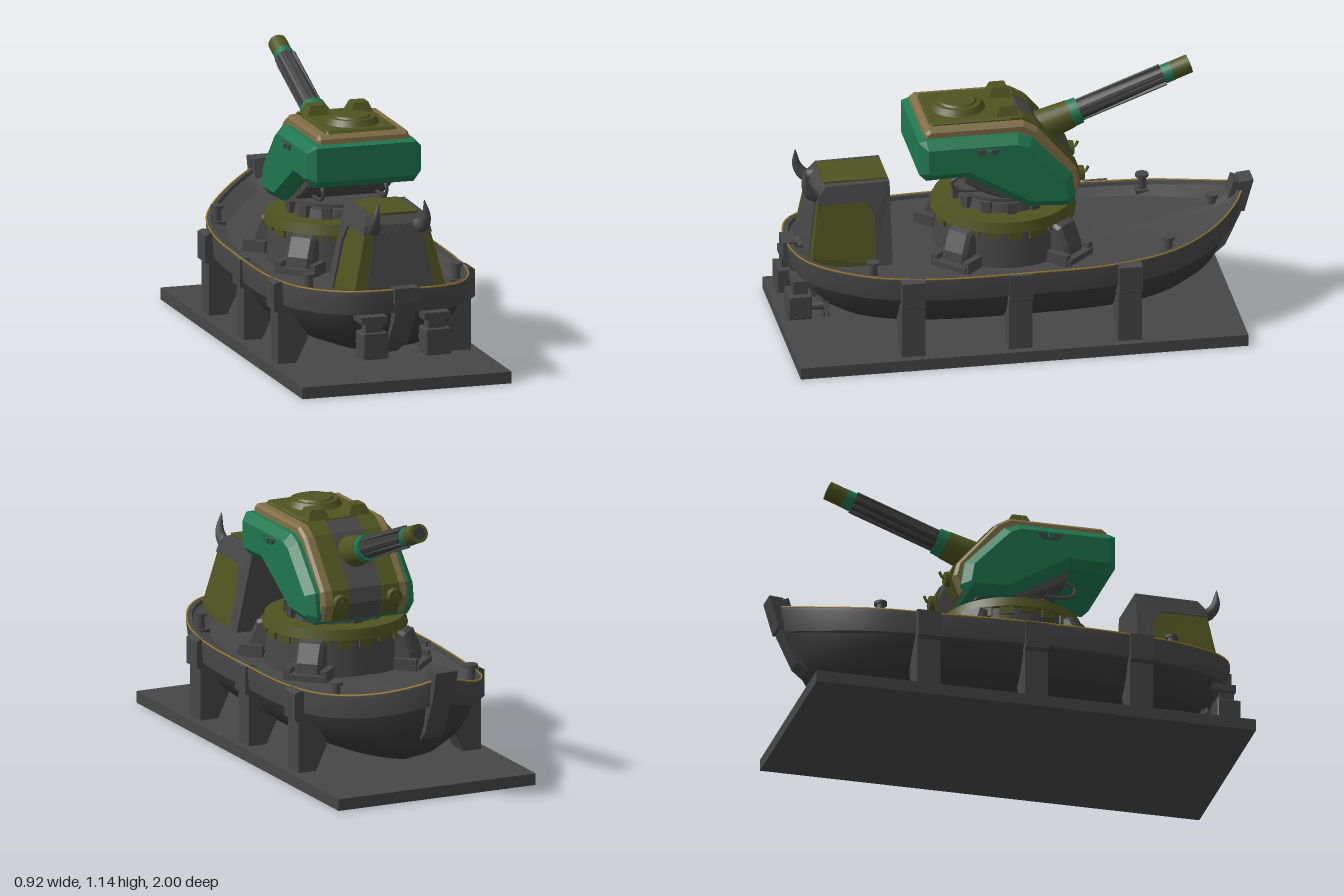
import * as THREE from 'three';
import { toCreasedNormals } from 'three/addons/utils/BufferGeometryUtils.js';

const mat = (name, color) => new THREE.MeshStandardMaterial({ name, color });

export function createModel() {
  const grey = mat('dark grey', 0x474747), hullGrey = mat('hull charcoal', 0x383838);
  const olive = mat('olive', 0x4f5420), green = mat('green', 0x1f7650);
  const tan = mat('tan', 0x7f6d45), yellow = mat('yellow trim', 0x9a7d2c);
  const root = new THREE.Group();
  root.name = 'gunboat';

  const add = (name, geo, m, x = 0, y = 0, z = 0, parent = root) => {
    const mesh = new THREE.Mesh(geo, m);
    mesh.name = name;
    mesh.position.set(x, y, z);
    parent.add(mesh);
    return mesh;
  };
  const box = (name, m, w, h, d, x, y, z, parent) => add(name, new THREE.BoxGeometry(w, h, d), m, x, y, z, parent);
  const cyl = (name, m, rt, rb, h, x, y, z, parent, n = 32) =>
    add(name, new THREE.CylinderGeometry(rt, rb, h, n), m, x, y, z, parent);
  // side profile of [z, y] points, extruded across x from x0 to x1
  const slab = (pts, x0, x1, b = 0) => {
    const shape = new THREE.Shape(pts.map(([z, y]) => new THREE.Vector2(z, y)));
    const d = x1 - x0;
    return new THREE.ExtrudeGeometry(shape, {
      depth: d - 2 * b, bevelEnabled: b > 0, bevelThickness: b, bevelSize: b, bevelOffset: -b, bevelSegments: 1,
    }).translate(0, 0, b - d / 2).rotateY(-Math.PI / 2).translate((x0 + x1) / 2, 0, 0);
  };
  const sides = (fn) => [1, -1].forEach(fn);

  // display plate
  box('basePlate', grey, 0.92, 0.05, 1.9, 0, 0.027, 0.045);

  // hull: gunwale outline, scaled into rings
  const half = [[0.22, 0.43, 0.93], [0.36, 0.41, 0.72], [0.42, 0.4, 0.45], [0.43, 0.4, 0],
    [0.41, 0.4, -0.35], [0.35, 0.42, -0.62], [0.22, 0.46, -0.82], [0.07, 0.515, -0.94]];
  const loop = [[0, 0.44, 0.985], ...half, [0, 0.54, -0.96],
    ...half.slice().reverse().map(([x, y, z]) => [-x, y, z])];
  const rim = new THREE.CatmullRomCurve3(loop.map((p) => new THREE.Vector3(...p)), true);
  const N = 96, rimPts = rim.getPoints(N).slice(0, N);
  // layer: x scale, z scale, height, share of the sheer rise
  const loft = (layers) => {
    const pos = [], idx = [];
    for (const [sx, sz, y, k] of layers)
      for (const p of rimPts) pos.push(p.x * sx, y + k * (p.y - 0.4), p.z * sz);
    for (let j = 0; j < layers.length - 1; j++)
      for (let i = 0; i < N; i++) {
        const a = j * N + i, b = j * N + (i + 1) % N, c = a + N, d = b + N;
        idx.push(a, c, b, b, c, d);
      }
    const g = new THREE.BufferGeometry();
    g.setAttribute('position', new THREE.Float32BufferAttribute(pos, 3));
    g.setIndex(idx);
    return toCreasedNormals(g, 0.6);
  };
  add('deck', loft([[0, 0, 0.365, 0], [0.55, 0.55, 0.365, 0.1], [0.82, 0.88, 0.365, 0.7]]), grey);
  add('gunwale', loft([[0.82, 0.88, 0.365, 0.7], [0.95, 0.97, 0.385, 1], [0.955, 0.975, 0.4, 1],
    [1, 1, 0.4, 1], [1.005, 1, 0.38, 1], [0.99, 0.98, 0.3, 0.9], [0.94, 0.94, 0.3, 0.9]]), grey);
  add('lowerHull', loft([[0.94, 0.94, 0.31, 0.9], [0.9, 0.92, 0.25, 0.6], [0.8, 0.87, 0.19, 0.3], [0.64, 0.78, 0.14, 0.1],
    [0.42, 0.64, 0.1, 0], [0.2, 0.48, 0.08, 0], [0, 0.35, 0.07, 0]]), hullGrey);
  add('rimLine', new THREE.TubeGeometry(new THREE.CatmullRomCurve3(
    rimPts.map((p) => new THREE.Vector3(p.x * 0.998, p.y, p.z * 0.998)), true), 96, 0.004, 5, true), yellow);

  // keel strip, stem and stern posts
  const keel = [[-0.985, 0.54], [-0.945, 0.42], [-0.88, 0.28], [-0.75, 0.17], [-0.55, 0.1], [-0.3, 0.067],
    [0.45, 0.067], [0.72, 0.11], [0.88, 0.19], [0.96, 0.3], [0.985, 0.4]];
  add('keel', slab([...keel, ...keel.slice().reverse().map(([z, y]) => [z * 0.93, y + 0.03])], -0.045, 0.045), grey);
  add('stemPost', slab([[-0.93, 0.43], [-0.96, 0.43], [-1, 0.57], [-0.94, 0.565]], -0.05, 0.05), grey);
  box('sternPost', grey, 0.11, 0.065, 0.06, 0, 0.412, 0.967);

  // cradle legs
  for (const z of [0.51, 0.055, -0.41]) sides((s) => {
    const leg = new THREE.Shape([[0.425, 0.05], [0.425, 0.27], [0.442, 0.28], [0.442, 0.395], [0.425, 0.403],
      [0.4, 0.403], [0.4, 0.3], [0.3, 0.2], [0.295, 0.155], [0.345, 0.05]].map(([x, y]) => new THREE.Vector2(s * x, y)));
    add('cradleLeg', new THREE.ExtrudeGeometry(leg, { depth: 0.1, bevelEnabled: false }), grey, 0, 0, z - 0.05);
  });

  // deck bollards
  for (const [x, z, y] of [[0.325, 0.665, 0.38], [-0.325, 0.665, 0.38], [0.315, -0.59, 0.39], [-0.315, -0.59, 0.39], [0, -0.83, 0.42]]) {
    box('bollardFoot', grey, 0.06, 0.02, 0.06, x, y, z);
    cyl('bollardPost', grey, 0.017, 0.02, 0.07, x, y + 0.035, z, root, 12);
    cyl('bollardCap', grey, 0.028, 0.028, 0.014, x, y + 0.07, z, root, 12);
  }

  // outboard motors
  sides((s) => {
    const g = new THREE.Group();
    g.name = 'outboardMotor';
    g.position.set(s * 0.138, 0, 0);
    root.add(g);
    add('motorBody', slab([[0.9, 0.15], [1, 0.15], [1, 0.26], [0.9, 0.26]], -0.057, 0.057, 0.006), grey, 0, 0, 0, g);
    box('motorNeck', grey, 0.075, 0.05, 0.06, 0, 0.28, 0.945, g);
    box('motorTop', grey, 0.115, 0.03, 0.13, 0, 0.312, 0.915, g);
    cyl('propellerShaft', grey, 0.015, 0.02, 0.09, 0, 0.185, 0.87, g, 10).rotation.x = Math.PI / 2;
    for (let i = 0; i < 3; i++) {
      const blade = box('propellerBlade', grey, 0.022, 0.1, 0.008, 0, 0.185, 0.845, g);
      blade.rotation.set(0, 0.4, i * Math.PI / 3);
    }
  });

  // cabin, narrowing upward
  const cabinPart = (name, pts, w, m, b = 0) => {
    const g = slab(pts, -w, w, b).toNonIndexed?.() ?? slab(pts, -w, w, b);
    const p = g.attributes.position;
    for (let i = 0; i < p.count; i++) p.setX(i, p.getX(i) * (1 - 0.36 * Math.max(0, (p.getY(i) - 0.42) / 0.3)));
    g.computeVertexNormals();
    add(name, g, m);
  };
  cabinPart('cabinBody', [[0.57, 0.38], [0.9, 0.38], [0.9, 0.43], [0.865, 0.67], [0.83, 0.71], [0.57, 0.72]], 0.2, olive);
  cabinPart('cabinWindow', [[0.86, 0.4], [0.906, 0.4], [0.906, 0.43], [0.871, 0.66], [0.82, 0.66]], 0.15, grey);
  cabinPart('cabinTrim', [[0.56, 0.38], [0.63, 0.38], [0.63, 0.58], [0.66, 0.65], [0.87, 0.65], [0.86, 0.69], [0.83, 0.725], [0.56, 0.73]], 0.208, grey);
  box('cabinRoof', olive, 0.2, 0.01, 0.27, 0, 0.729, 0.697);

  // horns: tapered rings along a curve
  sides((s) => {
    const c = new THREE.CatmullRomCurve3([[0.085, 0.68, 0.82], [0.105, 0.68, 0.88], [0.112, 0.72, 0.91], [0.1, 0.8, 0.92]]
      .map(([x, y, z]) => new THREE.Vector3(s * x, y, z)));
    const g = new THREE.TubeGeometry(c, 14, 1, 10), p = g.attributes.position, v = new THREE.Vector3();
    for (let i = 0; i < p.count; i++) {
      const t = Math.floor(i / 11) / 14, o = c.getPointAt(t);
      v.fromBufferAttribute(p, i).sub(o).multiplyScalar(0.03 * (1 - 0.95 * t * t)).add(o);
      p.setXYZ(i, v.x, v.y, v.z);
    }
    g.computeVertexNormals();
    add('horn', g, grey);
  });

  // turret pedestal
  const pz = 0.055;
  cyl('pedestal', grey, 0.285, 0.295, 0.18, 0, 0.45, pz, root, 48);
  cyl('pedestalRing', olive, 0.295, 0.305, 0.045, 0, 0.552, pz, root, 48);
  for (let i = 0; i < 20; i++) {
    const a = i * Math.PI / 10, h = 0.02 + 0.018 * Math.abs(Math.sin(i * 2.3));
    box('ringDrip', olive, 0.06, h, 0.012, Math.sin(a) * 0.292, 0.53 - h / 2, pz + Math.cos(a) * 0.292).rotation.y = a;
  }
  cyl('turntable', grey, 0.19, 0.2, 0.04, 0, 0.592, pz);
  cyl('turntableTop', grey, 0.2, 0.2, 0.015, 0, 0.632, pz);
  for (let i = 0; i < 12; i++) {
    const a = i * Math.PI / 6;
    box('turntableLug', grey, 0.04, 0.05, 0.03, Math.sin(a) * 0.2, 0.6, pz + Math.cos(a) * 0.2).rotation.y = a;
  }
  // four braces around the pedestal
  for (let i = 0; i < 4; i++) {
    const g = new THREE.Group(), a = Math.PI / 4 + i * Math.PI / 2;
    g.name = 'pedestalBrace';
    g.position.z = pz;
    g.rotation.y = a;
    root.add(g);
    add('braceHood', slab([[0.27, 0.38], [0.37, 0.38], [0.365, 0.44], [0.33, 0.52], [0.27, 0.54]], -0.06, 0.06, 0.015), grey, 0, 0, 0, g);
    box('braceFoot', grey, 0.17, 0.025, 0.05, 0, 0.385, 0.375, g);
    sides((s) => box('braceToe', grey, 0.03, 0.05, 0.1, s * 0.08, 0.395, 0.34, g));
  }

  // turret armour shells
  add('turretArmour', slab([[0.45, 0.935], [0.45, 0.79], [0.42, 0.76], [0.25, 0.765], [-0.01, 0.61], [-0.19, 0.6],
    [-0.215, 0.64], [-0.2, 0.74], [-0.03, 0.92], [-0.06 + 0.09, 0.945], [0.42, 0.945]], -0.252, 0.252, 0.035), green);
  add('turretUnderside', slab([[0.26, 0.78], [0.25, 0.72], [0.17, 0.67], [0.09, 0.635], [-0.15, 0.59], [-0.1, 0.7]], -0.19, 0.19, 0.01), grey);
  add('tanBand', slab([[0.425, 0.93], [0.42, 0.965], [0.4, 0.98], [0.0, 0.98], [-0.06, 0.945], [-0.225, 0.75],
    [-0.24, 0.69], [-0.21, 0.615], [-0.15, 0.61], [0.1, 0.85]], -0.2, 0.2, 0.012), tan);
  sides((s) => add('gunPanel', slab([[0.05, 0.99], [0.0, 0.99], [-0.065, 0.95], [-0.235, 0.75], [-0.25, 0.69],
    [-0.215, 0.615], [-0.15, 0.62], [0.05, 0.9]], s > 0 ? 0.075 : -0.155, s > 0 ? 0.155 : -0.075), olive));
  add('gunSlot', slab([[0.04, 0.985], [0, 0.985], [-0.06, 0.949], [-0.229, 0.75], [-0.244, 0.69], [-0.212, 0.612], [0.04, 0.9]], -0.075, 0.075), grey);
  // roof, hatch and sights
  add('turretRoof', slab([[0.4, 0.97], [0.385, 0.993], [0.01, 0.993], [0.0, 0.97]], -0.155, 0.155, 0.008), olive);
  cyl('hatch', olive, 0.1, 0.12, 0.03, 0, 1.003, 0.25);
  cyl('hatchLid', olive, 0.075, 0.085, 0.012, 0, 1.02, 0.25);
  sides((s) => {
    const b = add('sightHousing', new THREE.CylinderGeometry(0.045, 0.072, 0.045, 4, 1).rotateY(Math.PI / 4), olive, s * 0.095, 1.01, 0.06);
    b.geometry = toCreasedNormals(b.geometry, 0.3);
    // side slot, knob, towing hook and rosette
    add('sideSlot', slab([[0.21, 0.9], [0.2, 0.875], [0.13, 0.875], [0.11, 0.9]], -0.008, 0.008), grey, s * 0.252, 0, 0);
    box('sideKnob', green, 0.02, 0.022, 0.022, s * 0.262, 0.888, 0.16);
    cyl('rosette', olive, 0.032, 0.036, 0.03, s * 0.125, 0.7, -0.25, root, 8).rotation.x = -Math.PI / 2;
    add('towHook', new THREE.TubeGeometry(new THREE.CatmullRomCurve3([[-0.23, 0.705], [-0.27, 0.705], [-0.285, 0.73]]
      .map(([z, y]) => new THREE.Vector3(s * 0.125, y, z))), 8, 0.006, 6), olive);
    add('underRail', new THREE.TubeGeometry(new THREE.CatmullRomCurve3([[0.24, 0.74], [0.3, 0.71], [0.28, 0.675], [0.1, 0.665]]
      .map(([z, y]) => new THREE.Vector3(s * 0.14, y, z))), 12, 0.008, 6), grey);
  });

  // elevated gun; sections run along local y
  const gun = new THREE.Group();
  gun.name = 'gun';
  gun.position.set(0, 0.868, -0.1);
  gun.rotation.x = -(Math.PI / 2 - 0.36);
  root.add(gun);
  const section = (name, m, a, b, ra, rb, n = 24) => cyl(name, m, rb, ra, b - a, 0, (a + b) / 2, 0, gun, n);
  section('mantlet', olive, -0.08, 0.14, 0.075, 0.06);
  section('greenCollar', green, 0.14, 0.18, 0.058, 0.056);
  section('barrel', hullGrey, 0.18, 0.56, 0.046, 0.036);
  for (let i = 0; i < 8; i++) {
    const a = i * Math.PI / 4;
    const rib = box('barrelRib', grey, 0.012, 0.38, 0.012, Math.sin(a) * 0.042, 0.37, Math.cos(a) * 0.042, gun);
    rib.rotation.y = a;
  }
  section('greenMuzzleBand', green, 0.56, 0.6, 0.041, 0.041);
  section('muzzle', olive, 0.6, 0.68, 0.04, 0.04);
  section('bore', hullGrey, 0.676, 0.682, 0.026, 0.026);
  return root;
}
